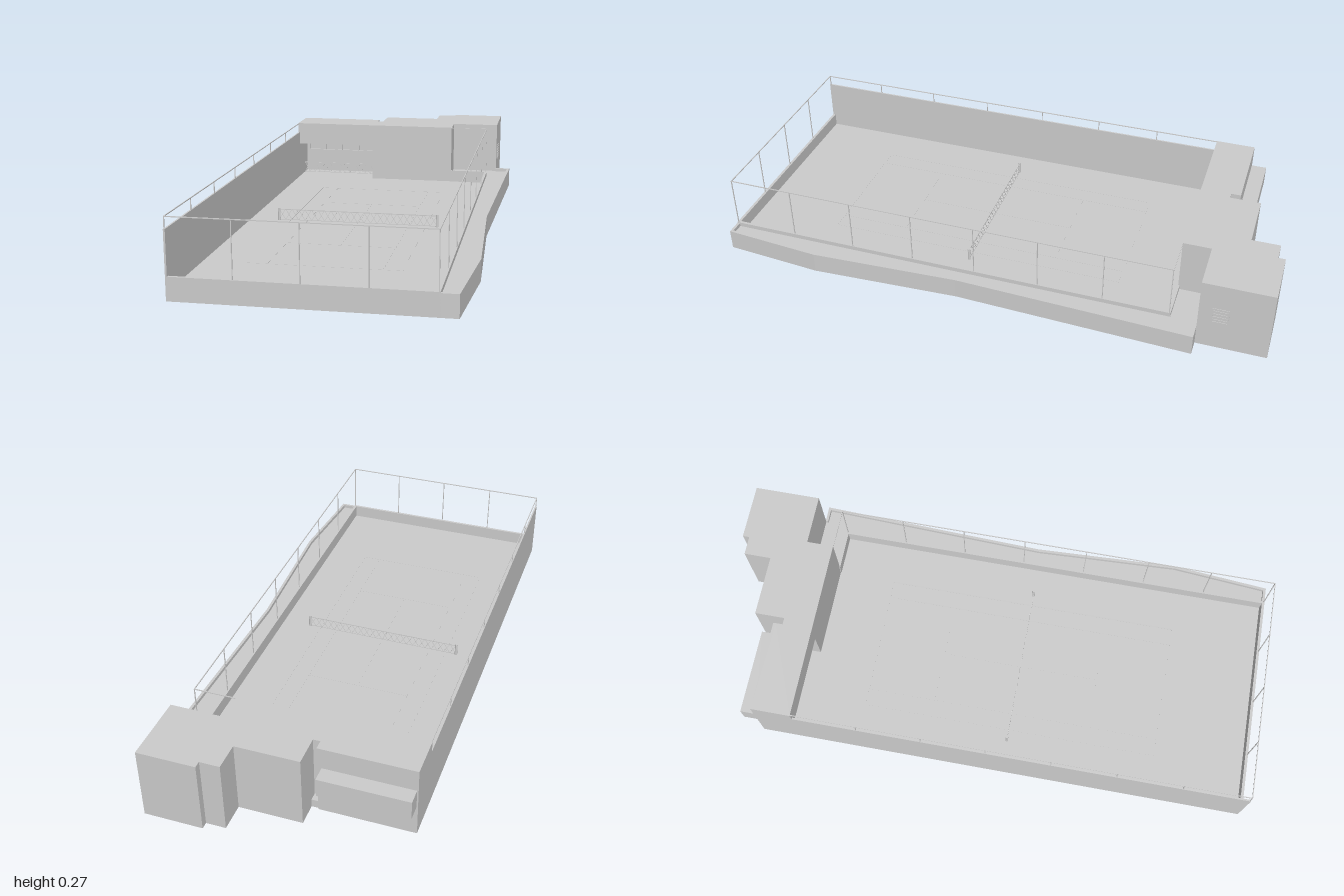
import * as THREE from 'three';

const grey = new THREE.MeshStandardMaterial({ color: 0xcccccc, flatShading: true, side: THREE.DoubleSide });

export function createModel() {
  const root = new THREE.Group();

  const add = (name, geometry, parent = root) => {
    const mesh = new THREE.Mesh(geometry, grey);
    mesh.name = name;
    parent.add(mesh);
    return mesh;
  };
  const group = (name) => {
    const g = new THREE.Group();
    g.name = name;
    root.add(g);
    return g;
  };
  // Box given by its extents on each axis
  const box = (name, x0, x1, y0, y1, z0, z1, parent) => {
    const g = new THREE.BoxGeometry(x1 - x0, y1 - y0, z1 - z0);
    g.translate((x0 + x1) / 2, (y0 + y1) / 2, (z0 + z1) / 2);
    return add(name, g, parent);
  };
  // Plan outline [x, z] raised from y0 to y1
  const prism = (name, plan, y0, y1, parent) => {
    const shape = new THREE.Shape(plan.map(([x, z]) => new THREE.Vector2(x, -z)));
    const g = new THREE.ExtrudeGeometry(shape, { depth: y1 - y0, bevelEnabled: false });
    g.rotateX(-Math.PI / 2).translate(0, y0, 0);
    return add(name, g, parent);
  };

  const FLOOR = 0.03, PARAPET = 0.078, TOP = 0.265, WALL = 0.225;
  const L = -0.46, R = 0.365, BACK = -0.655;

  // Sunken court floor and the low walls around it
  box('courtFloor', L, R, 0, FLOOR, -0.795, 1);
  box('frontParapet', L, R + 0.004, 0, PARAPET, 0.99, 1);
  box('rightParapet', R - 0.006, R + 0.004, 0, PARAPET, BACK, 1);
  box('backParapet', 0.21, R + 0.004, 0, PARAPET, BACK - 0.005, BACK + 0.003);
  box('leftWall', L, L + 0.006, 0, WALL, BACK, 1);

  // Walkway with a bent outer edge and a raised rim
  const edge = [[0.425, 1], [0.455, 0.64], [0.43, 0.1], [0.46, -0.755]];
  prism('walkway', [[R, 1], ...edge, [0.21, -0.755], [0.21, BACK], [R, BACK]], 0, 0.062);
  const inner = edge.map(([x, z]) => [x - 0.01, z]).reverse();
  prism('walkwayRim', [...edge, ...inner], 0.062, 0.075);
  box('walkwayFrontRim', R, 0.42, 0.062, 0.075, 0.99, 1);
  box('walkwayBackRim', 0.4, 0.455, 0.062, 0.075, -0.755, -0.745);

  // Stepped building at the back
  const building = group('building');
  prism('mainBlock', [
    [-0.13, BACK], [0.215, BACK], [0.215, -0.755], [0.402, -0.755], [0.402, -1],
    [0.195, -1], [0.195, -0.975], [0.125, -0.975], [0.125, -0.875],
    [-0.1, -0.875], [-0.1, -0.765], [-0.13, -0.765],
  ], 0, TOP, building);
  box('recessCeiling', L, -0.13, 0.175, TOP, -0.79, BACK, building);
  box('recessLeftWall', L, -0.454, 0, 0.175, -0.79, BACK, building);
  box('recessRightWall', -0.135, -0.125, 0, TOP, -0.8, -0.765, building);

  // Recess back wall with a row of windows
  const wall = new THREE.Shape([[L, 0], [-0.125, 0], [-0.125, TOP], [L, TOP]].map(p => new THREE.Vector2(...p)));
  for (let i = 0; i < 4; i++) {
    const x = -0.44 + i * 0.0747, w = 0.071;
    wall.holes.push(new THREE.Path([[x, 0.125], [x, 0.17], [x + w, 0.17], [x + w, 0.125]].map(p => new THREE.Vector2(...p))));
  }
  const wallGeo = new THREE.ExtrudeGeometry(wall, { depth: 0.01, bevelEnabled: false });
  add('windowWall', wallGeo.translate(0, 0, -0.8), building);
  box('rearBay', -0.455, -0.14, 0.115, 0.185, -0.855, -0.799, building);

  // Slatted window on the right-hand end of the building
  const vent = group('sideWindow');
  for (const z of [-0.858, -0.804]) box('windowJamb', 0.4, 0.404, 0.108, 0.168, z, z + 0.004, vent);
  for (const y of [0.108, 0.164]) box('windowSill', 0.4, 0.404, y, y + 0.004, -0.858, -0.8, vent);
  for (let i = 0; i < 4; i++) {
    const y = 0.117 + i * 0.012;
    box('slat', 0.4, 0.404, y, y + 0.005, -0.854, -0.804, vent);
  }

  // Fence: thin posts and a top rail along the open sides
  const fence = group('fence');
  const t = 0.0015;
  const post = (x, y0, z) => box('fencePost', x - t, x + t, y0, TOP, z - t, z + t, fence);
  const fl = L + 0.003, fr = R, ff = 0.997;
  for (let i = 0; i < 8; i++) {
    const z = ff - i * (ff - BACK) / 7;
    post(fl, WALL, z);
    post(fr, PARAPET, z);
  }
  for (let i = 1; i < 4; i++) post(fl + i * (fr - fl) / 4, PARAPET, ff);
  post(fl, PARAPET, ff);
  for (const x of [fl, fr]) box('sideRail', x - t, x + t, TOP - 2 * t, TOP, BACK, ff, fence);
  box('frontRail', fl, fr, TOP - 2 * t, TOP, ff - t, ff + t, fence);
  box('backRail', 0.215, fr, TOP - 2 * t, TOP, BACK - t, BACK + t, fence);

  // Crossed mesh panel between two posts
  const lattice = (name, x0, x1, y0, y1, z, count) => {
    const g = group(name);
    const step = (x1 - x0) / count, h = y1 - y0;
    for (let i = 0; i < count; i++) {
      for (const s of [-1, 1]) {
        const strand = add('strand', new THREE.BoxGeometry(Math.hypot(step, h), 0.0015, 0.001), g);
        strand.position.set(x0 + (i + 0.5) * step, (y0 + y1) / 2, z);
        strand.rotation.z = s * Math.atan2(h, step);
      }
    }
    box('topBand', x0, x1, y1 - 0.003, y1, z - 0.001, z + 0.001, g);
    box('bottomBand', x0, x1, y0, y0 + 0.002, z - 0.001, z + 0.001, g);
    return g;
  };
  const net = lattice('net', -0.345, 0.25, FLOOR + 0.002, 0.073, 0.113, 24);
  for (const x of [-0.345, 0.25]) {
    const g = new THREE.CylinderGeometry(0.005, 0.005, 0.047, 10);
    add('netPost', g.translate(x, FLOOR + 0.0235, 0.113), net);
  }
  lattice('recessRail', -0.454, -0.135, FLOOR, 0.074, -0.745, 14);

  // Court markings
  const lines = group('courtLines');
  const cx = -0.048, cz = 0.113, w = 0.002;
  const mark = (x0, x1, z0, z1) => box('courtLine', cx + x0 - w, cx + x1 + w, FLOOR, FLOOR + 0.0006, cz + z0 - w, cz + z1 + w, lines);
  for (const s of [-1, 1]) {
    mark(s * 0.255, s * 0.255, -0.553, 0.553);
    mark(s * 0.191, s * 0.191, -0.553, 0.553);
    mark(-0.255, 0.255, s * 0.553, s * 0.553);
    mark(-0.191, 0.191, s * 0.298, s * 0.298);
  }
  mark(0, 0, -0.298, 0.298);

  return root;
}
